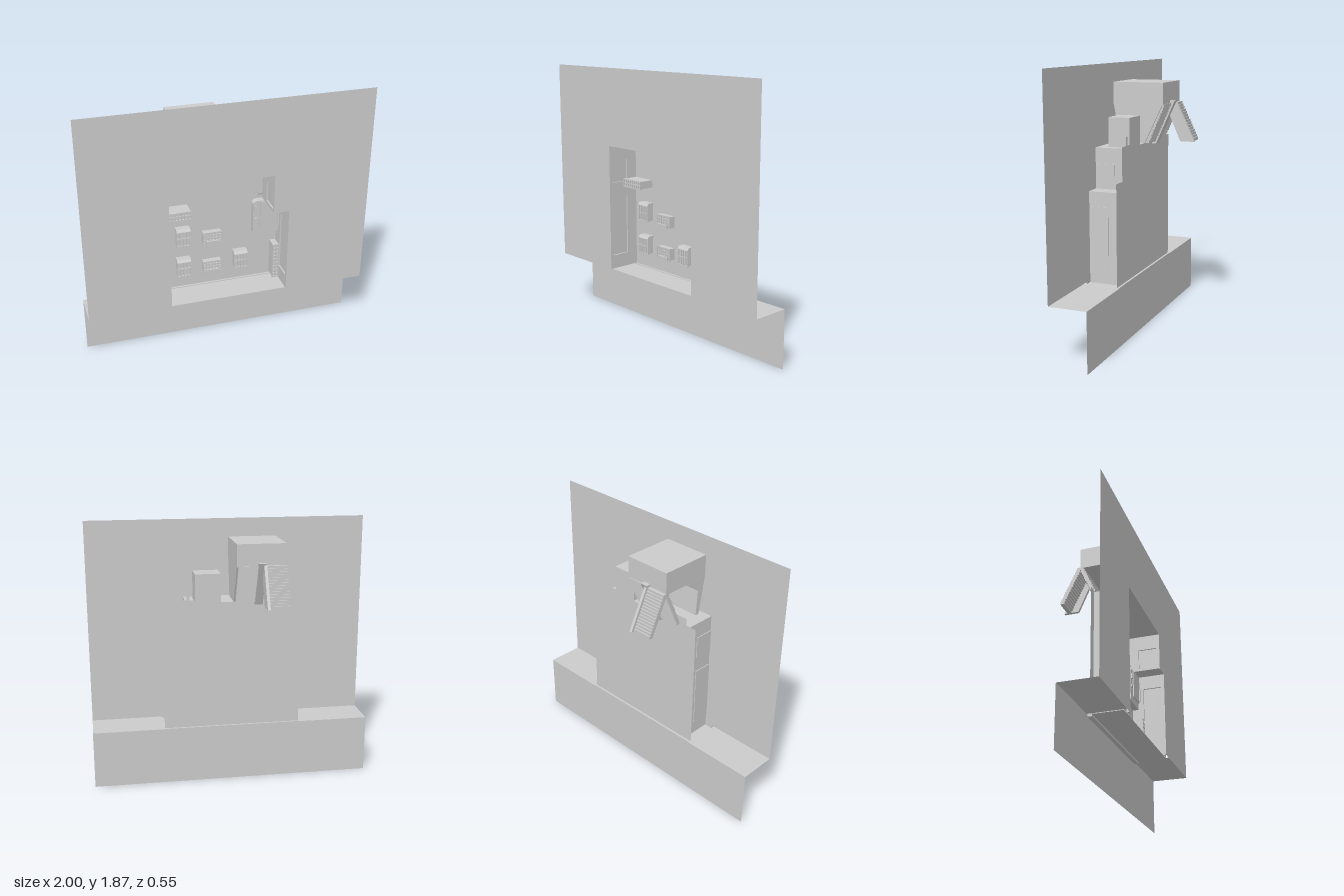
import * as THREE from 'three';

export function createModel() {
  const root = new THREE.Group();
  const grey = new THREE.MeshStandardMaterial({ color: 0xcccccc, side: THREE.DoubleSide });
  grey.name = 'plain grey';

  const add = (name, geo, parent = root) => {
    const m = new THREE.Mesh(geo, grey);
    m.name = name;
    parent.add(m);
    return m;
  };
  const group = (name) => {
    const g = new THREE.Group();
    g.name = name;
    root.add(g);
    return g;
  };
  // box given by its minimum and maximum on each axis
  const box = (name, x0, x1, y0, y1, z0, z1, parent) =>
    add(name, new THREE.BoxGeometry(x1 - x0, y1 - y0, z1 - z0)
      .translate((x0 + x1) / 2, (y0 + y1) / 2, (z0 + z1) / 2), parent);
  const outline = (pts) => new THREE.Shape(pts.map(([a, b]) => new THREE.Vector2(a, b)));
  const sheet = (name, pts, z) => add(name, new THREE.ShapeGeometry(outline(pts)).translate(0, 0, z));
  // extrude a (z, y) outline from x0 to x1
  const sideways = (name, pts, x0, x1, parent, holes = []) => {
    const s = outline(pts);
    holes.forEach((h) => s.holes.push(outline(h)));
    const geo = new THREE.ExtrudeGeometry(s, { depth: x1 - x0, bevelEnabled: false });
    return add(name, geo.rotateY(-Math.PI / 2).translate(x1, 0, 0), parent);
  };
  const rect = (a0, a1, b0, b1) => [[a0, b0], [a1, b0], [a1, b1], [a0, b1]];
  const floor = (name, x0, x1, y, z0, z1) =>
    add(name, new THREE.PlaneGeometry(x1 - x0, z1 - z0).rotateX(-Math.PI / 2)
      .translate((x0 + x1) / 2, y, (z0 + z1) / 2));

  // Backdrop: front sheet around the stepped opening, ledge and lower sheet
  const opening = [[-0.42, 0.41], [-0.42, 1.32], [0.31, 1.32], [0.31, 1.04], [0.42, 1.04], [0.42, 0.41]];
  sheet('frontPanel', [[-1, 0.41], ...opening, [1, 0.41], [1, 1.87], [-1, 1.87]], 0.275);
  sheet('lowerPanel', rect(-1, 1, 0, 0.41), 0.01);
  for (const s of [-1, 1]) floor('ledge', Math.min(s, s * 0.49), Math.max(s, s * 0.49), 0.41, 0.01, 0.275);
  floor('roomFloor', -0.49, 0.49, 0.405, 0.01, 0.255);
  sheet('openingFlange', [[-0.49, 0.41], ...opening, [0.49, 0.41], [0.49, 1.11],
    [0.39, 1.11], [0.39, 1.37], [-0.49, 1.37]], 0.253);

  // Room shell
  sheet('backWall', [[-0.49, 0.41], [0.49, 0.41], [0.49, 1.11], [0.39, 1.11], [0.39, 1.34],
    [0.32, 1.34], [0.32, 1.4], [0.3, 1.4], [0.3, 1.34], [0.26, 1.34], [0.26, 1.32],
    [-0.33, 1.32], [-0.33, 1.38], [-0.41, 1.38], [-0.41, 1.33], [-0.49, 1.33]], 0.03);
  box('sill', -0.49, 0.49, 0.39, 0.41, 0.015, 0.045);
  floor('upperCeiling', -0.42, 0.31, 1.32, 0.03, 0.275);
  floor('lowerCeiling', 0.31, 0.42, 1.04, 0.03, 0.275);

  // Side walls with shallow niches; s is the outward direction
  const sideWall = (name, x, s, y0, y1, niches) => {
    const g = group(name);
    const span = (a, b) => [Math.min(x + s * a, x + s * b), Math.max(x + s * a, x + s * b)];
    sideways('wall', rect(0.03, 0.275, y0, y1), ...span(0, 0.012), g,
      niches.map(([a, b]) => rect(0.115, 0.25, a, b)));
    for (const [a, b] of niches) box('nicheBack', ...span(0.011, 0.018), a, b, 0.115, 0.25, g);
  };
  sideWall('rightWall', -0.42, -1, 0.41, 1.32, [[0.51, 0.94], [1.05, 1.21]]);
  sideWall('leftWall', 0.42, 1, 0.41, 1.04, [[0.51, 0.94]]);
  sideWall('leftUpperWall', 0.31, 1, 1.04, 1.32, [[1.06, 1.21]]);

  // Framed lattice box standing out from the back wall
  const lattice = (name, x0, x1, y0, y1, depth, cols, rows) => {
    const g = group(name), z = 0.03 + depth, t = 0.007;
    box('body', x0 + 0.004, x1 - 0.004, y0 + 0.004, y1 - 0.004, 0.03, z - 0.01, g);
    for (let i = 0; i <= cols; i++) {
      const x = x0 + (x1 - x0 - t) * i / cols;
      box('upright', x, x + t, y0, y1, z - 0.012, z, g);
    }
    for (let j = 0; j <= rows; j++) {
      const y = y0 + (y1 - y0 - t) * j / rows;
      box('crossbar', x0, x1, y, y + t, z - 0.012, z - 0.001, g);
    }
    return g;
  };
  // Tall windows with a sloping hood
  for (const [x, y] of [[-0.33, 0.765], [-0.33, 0.52], [0.09, 0.52]]) {
    const g = lattice('tallWindow', x, x + 0.1, y, y + 0.12, 0.055, 4, 1);
    box('middleRail', x, x + 0.1, y + 0.06, y + 0.066, 0.07, 0.086, g);
    sideways('hood', [[0.03, y + 0.117], [0.088, y + 0.117], [0.075, y + 0.136], [0.03, y + 0.136]], x, x + 0.1, g);
  }
  // Wide windows with a lower box
  for (const y of [0.755, 0.52]) {
    const g = lattice('wideWindow', -0.14, 0, y, y + 0.09, 0.05, 6, 4);
    box('flowerBox', -0.12, -0.02, y, y + 0.025, 0.07, 0.09, g);
  }
  lattice('balcony', -0.42, -0.235, 1.01, 1.072, 0.12, 8, 2);
  lattice('cornerLattice', 0.37, 0.42, 0.415, 0.69, 0.09, 2, 9);

  // Rounded cabinet at the right of the opening
  const cab = new THREE.Shape();
  cab.moveTo(0.42, 0.78);
  cab.lineTo(0.26, 0.78);
  cab.quadraticCurveTo(0.23, 0.78, 0.23, 0.81);
  cab.lineTo(0.23, 1.01);
  cab.quadraticCurveTo(0.23, 1.04, 0.26, 1.04);
  cab.lineTo(0.42, 1.04);
  add('roundedCabinet', new THREE.ExtrudeGeometry(cab, { depth: 0.045, bevelEnabled: false }).translate(0, 0, 0.03));
  box('cabinetDoor', 0.28, 0.42, 0.83, 1.035, 0.07, 0.083);
  box('cabinetHandle', 0.24, 0.255, 0.96, 1.0, 0.07, 0.085);
  box('cabinetLatch', 0.235, 0.26, 0.89, 0.91, 0.07, 0.085);
  box('cabinetHinge', 0.41, 0.42, 0.84, 0.94, 0.08, 0.09);
  box('lamp', -0.21, -0.155, 1.3, 1.32, 0.03, 0.07);
  box('shelfStrip', 0.11, 0.23, 1.262, 1.268, 0.03, 0.036);

  // Small spiky plants
  for (const [px, py] of [[-0.385, 1.29], [0.28, 1.09]]) {
    const g = group('spikyPlant');
    for (let i = 0; i < 7; i++) {
      const leaf = add('leaf', new THREE.ConeGeometry(0.007, 0.036, 3).translate(0, 0.016, 0), g);
      leaf.position.set(px, py, 0.05);
      leaf.rotation.set(0.4 * Math.sin(i * 2), 0, i * Math.PI * 2 / 7);
    }
  }

  // Roof tower
  box('roofBox', 0.08, 0.26, 1.32, 1.52, 0.03, 0.185);
  const tower = group('tower');
  box('towerBlock', -0.35, -0.01, 1.585, 1.74, -0.105, 0.265, tower);
  sideways('frontLeg', [[0.17, 1.6], [0.265, 1.6], [0.26, 1.57], [0.215, 1.32], [0.185, 1.32], [0.2, 1.5]],
    -0.35, -0.01, tower);
  sideways('towerSide', [[-0.105, 1.6], [0.265, 1.6], [0.26, 1.57], [0.215, 1.32], [0.03, 1.32]],
    -0.02, -0.01, tower);

  // Flight of steps between two (z, y) points
  const flight = (name, x0, x1, z0, y0, z1, y1, n) => {
    const g = group(name);
    for (let i = 0; i < n; i++) {
      const t = (i + 0.5) / n, z = z0 + (z1 - z0) * t, y = y0 + (y1 - y0) * t;
      box('step', x0, x1, y - 0.011, y + 0.011, z - 0.015, z + 0.015, g);
    }
  };
  flight('outerStairs', -0.35, -0.21, -0.11, 1.59, -0.24, 1.32, 15);
  flight('innerStairs', -0.35, -0.02, -0.1, 1.59, 0.02, 1.32, 14);
  sideways('outerStringer', [[-0.14, 1.6], [-0.275, 1.32], [-0.17, 1.32], [-0.09, 1.5]], -0.21, -0.19, tower);
  sideways('innerStringer', [[-0.14, 1.61], [-0.105, 1.61], [0.03, 1.34], [0.03, 1.3], [0, 1.3]], -0.21, -0.155, tower);

  return root;
}
